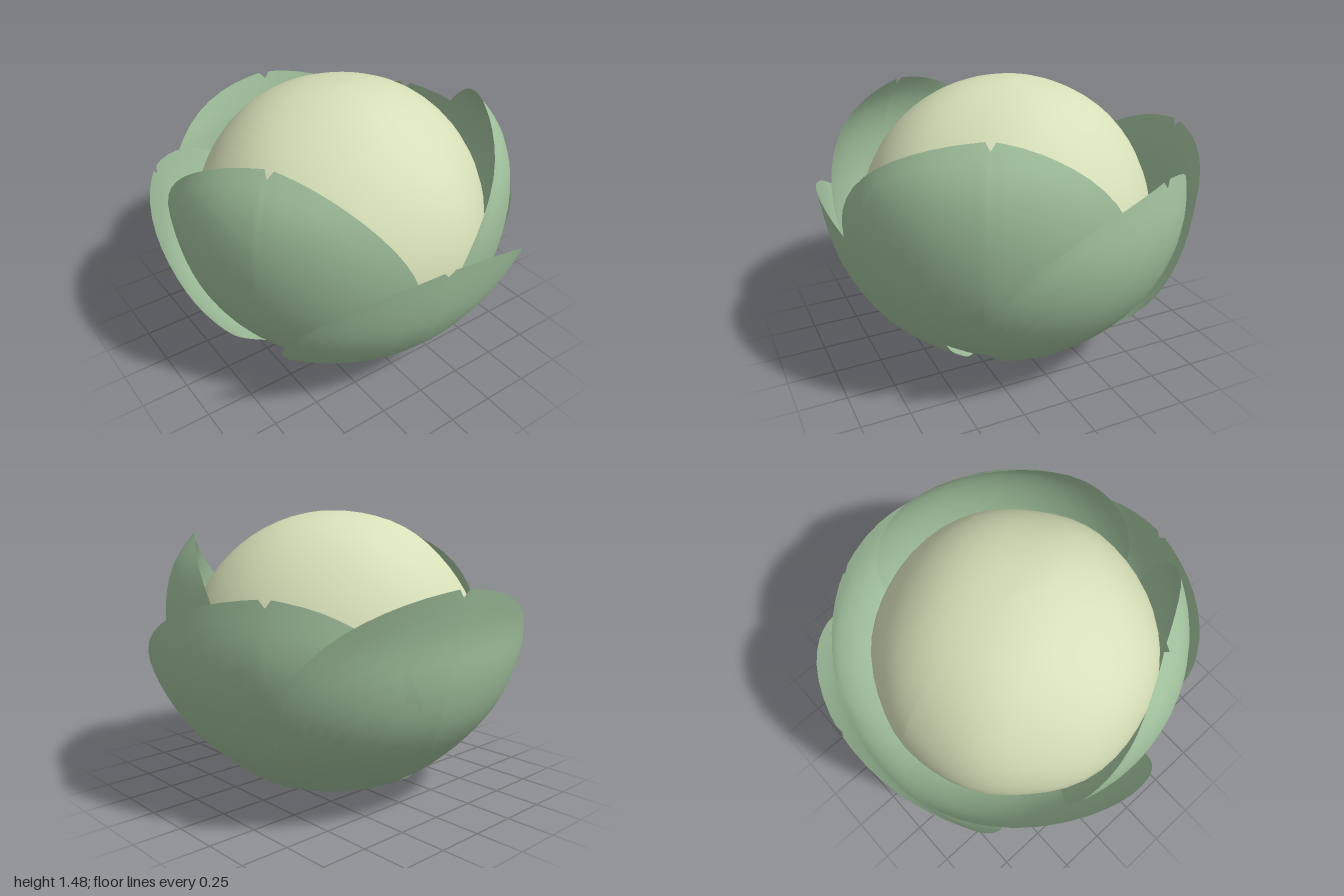
import * as THREE from 'three';
import { mergeVertices } from 'three/addons/utils/BufferGeometryUtils.js';

const leafGreen = new THREE.MeshStandardMaterial({ color: 0xa0c09c, side: THREE.DoubleSide });
leafGreen.name = 'leaf green';
const headCream = new THREE.MeshStandardMaterial({ color: 0xd7e0b8 });
headCream.name = 'head pale green';
const stemBeige = new THREE.MeshStandardMaterial({ color: 0xd6d0c0 });
stemBeige.name = 'stem beige';

// Midrib profiles as [radius, height], from the base to the tip
const INNER = [[0.24, 0.102], [0.42, 0.102], [0.64, 0.27], [0.81, 0.52], [0.88, 0.8], [0.88, 1.05], [0.83, 1.23], [0.72, 1.385]];
const MIDDLE = [[0.24, 0.096], [0.44, 0.096], [0.68, 0.27], [0.86, 0.5], [0.93, 0.72], [0.95, 0.95], [1.0, 1.18]];
const OUTER = [[0.24, 0.09], [0.44, 0.09], [0.6, 0.2], [0.77, 0.37], [0.9, 0.6], [0.95, 0.78], [0.985, 0.99]];
const BACK = [[0.24, 0.09], [0.44, 0.09], [0.6, 0.2], [0.77, 0.37], [0.9, 0.6], [0.95, 0.85], [0.92, 1.14]];

// Columns across half a leaf: a fine pair for the notch, then closer towards the side edge
const half = [0.035];
for (let i = 1; i <= 14; i++) half.push(Math.sin(i / 14 * Math.PI / 2));
const COLUMNS = [...half.map(u => -u).reverse(), 0, ...half];

// Cupped leaf: the profile swept around the axis, with a rounded rim and a small notch at the tip.
// Each side has its own [width in degrees, outward flare].
function makeLeaf(name, profile, angle, before, after) {
  const curve = new THREE.CatmullRomCurve3(profile.map(([r, y]) => new THREE.Vector3(r, y, 0)));
  const rows = 18, pos = [], index = [];
  COLUMNS.forEach((u, i) => {
    const [width, flare] = u < 0 ? before : after;
    const rim = 0.53 + 0.47 * Math.sqrt(1 - u * u) - (u === 0 ? 0.03 : 0.02 * Math.sqrt(Math.abs(u)));
    for (let j = 0; j <= rows; j++) {
      const s = rim * j / rows;
      const p = curve.getPointAt(s);
      const narrow = 0.88 + 0.12 * Math.min(1, s / 0.5);
      const a = THREE.MathUtils.degToRad(angle + u * width * narrow);
      const r = p.x + flare * u * u * s * s;
      pos.push(r * Math.cos(a), p.y, r * Math.sin(a));
      if (i < COLUMNS.length - 1 && j < rows) {
        const k = i * (rows + 1) + j, n = k + rows + 1;
        index.push(k, k + 1, n, n, k + 1, n + 1);
      }
    }
  });
  const geo = new THREE.BufferGeometry();
  geo.setAttribute('position', new THREE.Float32BufferAttribute(pos, 3));
  geo.setIndex(index);
  geo.computeVertexNormals();
  const mesh = new THREE.Mesh(geo, leafGreen);
  mesh.name = name;
  return mesh;
}

// Slightly lumpy ball, narrowed and flattened underneath
function makeHead() {
  const geo = new THREE.SphereGeometry(0.785, 48, 32);
  const p = geo.attributes.position;
  const v = new THREE.Vector3();
  for (let i = 0; i < p.count; i++) {
    v.fromBufferAttribute(p, i);
    const lump = Math.sin(7 * v.x + 2 * v.y) * Math.sin(6 * v.z - 3 * v.y) + 0.6 * Math.sin(11 * v.z + 5 * v.x);
    v.multiplyScalar(1 + 0.007 * lump);
    v.y += 0.7;
    const low = Math.max(0, 0.7 - v.y) / 0.7;
    p.setXYZ(i, v.x * (1 - 0.13 * low), Math.max(v.y, 0.14), v.z * (1 - 0.13 * low));
  }
  geo.computeVertexNormals();
  const mesh = new THREE.Mesh(geo, headCream);
  mesh.name = 'head';
  return mesh;
}

// Cut stem under the head, shaded softly over its rim
function makeStem() {
  const base = new THREE.CylinderGeometry(0.195, 0.175, 0.18, 24);
  base.deleteAttribute('normal');
  base.deleteAttribute('uv');
  const geo = mergeVertices(base);
  geo.computeVertexNormals();
  const mesh = new THREE.Mesh(geo, stemBeige);
  mesh.name = 'stem';
  mesh.position.set(0, 0.09, -0.025);
  return mesh;
}

export function createModel() {
  const model = new THREE.Group();
  model.name = 'cabbage';
  model.add(
    makeHead(),
    makeStem(),
    // Inner, middle and outer wrapping leaves
    makeLeaf('innerFrontLeaf', INNER, 60, [51, 0.05], [54, 0.03]),
    makeLeaf('innerBackLeaf', INNER, -60, [49, 0.03], [61, 0.04]),
    makeLeaf('middleRightLeaf', MIDDLE, 188, [52, 0.14], [52, 0.14]),
    makeLeaf('outerLeftLeaf', OUTER, 6, [51, 0.13], [48, 0.13]),
    makeLeaf('outerFrontLeaf', OUTER, 128, [51, 0.1], [49, 0]),
    makeLeaf('outerBackLeaf', BACK, 241, [46, 0], [62, 0.1])
  );
  return model;
}
